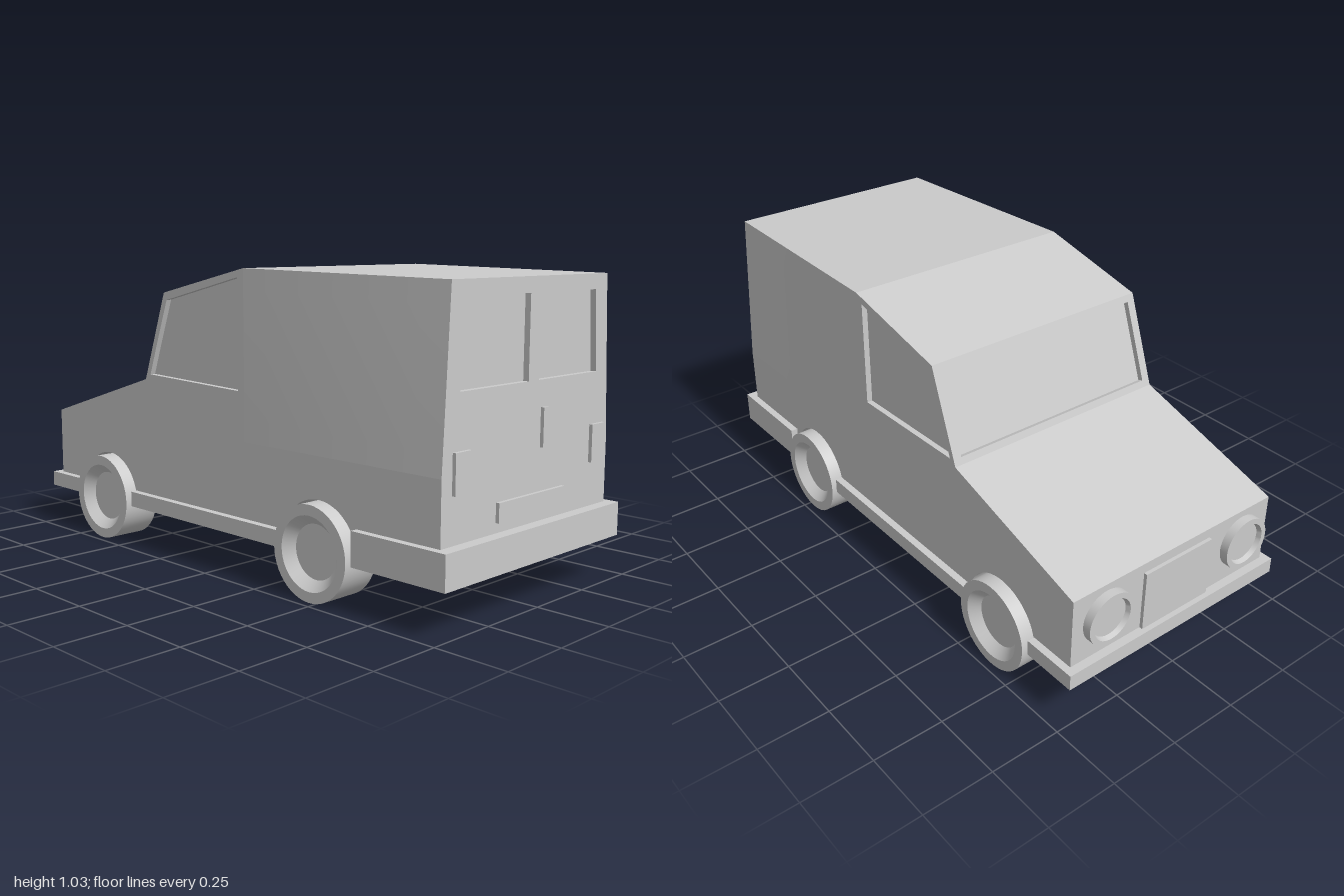
import * as THREE from 'three';
import { toCreasedNormals } from 'three/addons/utils/BufferGeometryUtils.js';

const HALF = 0.43, SKIN = 0.02, FLOOR = 0.15;
const AXLES = [-0.64, 0.475], WHEEL_R = 0.157, ARCH_R = 0.165;

const material = new THREE.MeshStandardMaterial({ color: 0xcccccc, side: THREE.DoubleSide });
const toShape = (pts) => new THREE.Shape(pts.map(([x, y]) => new THREE.Vector2(x, y)));

function add(parent, name, geometry) {
  const mesh = new THREE.Mesh(geometry, material);
  mesh.name = name;
  parent.add(mesh);
  return mesh;
}

// box given by its limits
function box(parent, name, x0, x1, y0, y1, z0, z1) {
  const mesh = add(parent, name, new THREE.BoxGeometry(x1 - x0, y1 - y0, z1 - z0));
  mesh.position.set((x0 + x1) / 2, (y0 + y1) / 2, (z0 + z1) / 2);
}

// sheet with window openings, extruded from z = -SKIN to z = 0
function panel(outline, openings) {
  const shape = toShape(outline);
  for (const o of openings) shape.holes.push(new THREE.Path(o.map(([x, y]) => new THREE.Vector2(x, y))));
  return new THREE.ExtrudeGeometry(shape, { depth: SKIN, bevelEnabled: false }).translate(0, 0, -SKIN);
}

// surface spanning the body width along [z, y, halfWidth] stations
function strip(stations) {
  const pos = [];
  for (let i = 0; i < stations.length - 1; i++) {
    const [z0, y0, w0 = HALF] = stations[i], [z1, y1, w1 = HALF] = stations[i + 1];
    pos.push(w0, y0, z0, w1, y1, z1, -w1, y1, z1);
    pos.push(w0, y0, z0, -w1, y1, z1, -w0, y0, z0);
  }
  const g = new THREE.BufferGeometry();
  g.setAttribute('position', new THREE.Float32BufferAttribute(pos, 3));
  return toCreasedNormals(g, 0.16);
}

// turned part with its axis along y
function turned(points) {
  const g = new THREE.LatheGeometry(points.map(([r, y]) => new THREE.Vector2(r, y)), 48);
  return toCreasedNormals(g, 0.4);
}

export function createModel() {
  const model = new THREE.Group();
  model.name = 'van';

  // side outline in (z, y): underside with wheel arches, nose to tail
  const underside = [[-0.97, FLOOR]];
  const dip = Math.asin((WHEEL_R - FLOOR) / ARCH_R);
  for (const c of AXLES) {
    for (let i = 0; i <= 28; i++) {
      const a = Math.PI + dip - (i / 28) * (Math.PI + 2 * dip);
      underside.push([c + ARCH_R * Math.cos(a), WHEEL_R + ARCH_R * Math.sin(a)]);
    }
  }
  underside.push([0.96, FLOOR]);
  const roof = [[0.96, 1.015, 0.4], [0.13, 1.03], [-0.29, 0.937]];
  const hood = [[-0.405, 0.622], [-0.97, 0.45]];

  const body = new THREE.Group();
  body.name = 'body';
  model.add(body);
  add(body, 'roof', strip(roof));
  add(body, 'hoodNoseAndFloor', strip([...hood, ...underside]));

  // sides: flat panel with window, plus the rear quarter leaning inward
  const sideOutline = [...underside, [0.96, 0.46], [0.13, 0.46], [0.13, 1.03], [-0.29, 0.937], ...hood];
  const sideWindow = [[0.1, 1.0], [0.1, 0.627], [-0.378, 0.642], [-0.275, 0.912]];
  for (const s of [1, -1]) {
    const side = s > 0 ? 'left' : 'right';
    const g = panel(sideOutline, [sideWindow]).translate(0, 0, SKIN).rotateY(-Math.PI / 2);
    add(body, side + 'Side', g.translate(s > 0 ? HALF : SKIN - HALF, 0, 0));
    const pane = new THREE.ShapeGeometry(toShape(sideWindow)).rotateY(-Math.PI / 2);
    add(body, side + 'SideWindow', pane.translate(s * (HALF - SKIN), 0, 0));

    const quarter = new THREE.PlaneGeometry(1, 1, 8, 8);
    const p = quarter.attributes.position;
    for (let i = 0; i < p.count; i++) {
      const u = s > 0 ? 0.5 - p.getX(i) : p.getX(i) + 0.5;
      const v = p.getY(i) + 0.5;
      const top = 1.03 - 0.015 * u;
      p.setXYZ(i, s * (HALF - 0.03 * u * v), 0.46 + (top - 0.46) * v, 0.13 + 0.83 * u);
    }
    quarter.computeVertexNormals();
    add(body, side + 'RearQuarter', quarter);
  }

  // rear wall with two door windows
  const rearWindows = [
    [[0.032, 0.7], [0.353, 0.7], [0.335, 0.965], [0.032, 0.965]],
    [[-0.022, 0.7], [-0.353, 0.7], [-0.335, 0.965], [-0.022, 0.965]],
  ];
  const rearOutline = [[-HALF, FLOOR], [HALF, FLOOR], [HALF, 0.46], [0.4, 1.015], [-0.4, 1.015], [-HALF, 0.46]];
  add(body, 'rearWall', panel(rearOutline, rearWindows).translate(0, 0, 0.96));
  for (const w of rearWindows)
    add(body, 'rearWindow', new THREE.ShapeGeometry(toShape(w)).translate(0, 0, 0.96 - SKIN));

  // sloping windshield frame and glass
  const slope = new THREE.Vector3(0, 0.315, 0.115);
  const len = slope.length();
  slope.normalize();
  const across = new THREE.Vector3(-1, 0, 0);
  const place = new THREE.Matrix4()
    .makeBasis(across, slope, across.clone().cross(slope))
    .setPosition(0, 0.622, -0.405);
  const rect = (w, y0, y1) => [[-w, y0], [w, y0], [w, y1], [-w, y1]];
  const glass = rect(0.4, 0.025, len - 0.025);
  add(body, 'windshieldFrame', panel(rect(HALF, 0, len), [glass]).applyMatrix4(place));
  add(body, 'windshield', new THREE.ShapeGeometry(toShape(glass)).translate(0, 0, -SKIN).applyMatrix4(place));

  // bumpers and sills
  box(model, 'rearBumper', -0.456, 0.456, 0.145, 0.258, 0.637, 1);
  box(model, 'sill', -0.456, 0.456, 0.145, 0.2, -0.475, 0.315);
  box(model, 'frontBumper', -0.456, 0.456, 0.145, 0.2, -1, -0.803);

  // rear fittings
  box(model, 'leftTailLight', 0.325, 0.398, 0.405, 0.53, 0.95, 0.972);
  box(model, 'rightTailLight', -0.382, -0.309, 0.405, 0.53, 0.95, 0.972);
  box(model, 'doorHandle', 0.047, 0.07, 0.49, 0.615, 0.95, 0.972);
  box(model, 'rearPlate', -0.172, 0.172, 0.29, 0.352, 0.95, 0.972);

  // front grille and headlights
  box(model, 'grille', -0.15, 0.14, 0.19, 0.415, -0.982, -0.96);
  for (const x of [0.293, -0.305]) {
    const g = turned([[0.093, 0], [0.093, 0.03], [0.074, 0.03], [0.068, 0.014], [0, 0.014]]);
    const lamp = add(model, 'headlight', g.rotateX(-Math.PI / 2));
    lamp.position.set(x, 0.333, -0.97);
  }

  // wheels with dished hubs
  for (const z of AXLES) {
    for (const s of [1, -1]) {
      const g = turned([[0, 0], [WHEEL_R, 0], [WHEEL_R, 0.138], [0.122, 0.138], [0.09, 0.105], [0, 0.105]]);
      const wheel = add(model, (z < 0 ? 'front' : 'rear') + 'Wheel', g.rotateZ(-s * Math.PI / 2));
      wheel.position.set(s * 0.335, WHEEL_R, z);
    }
  }
  return model;
}
